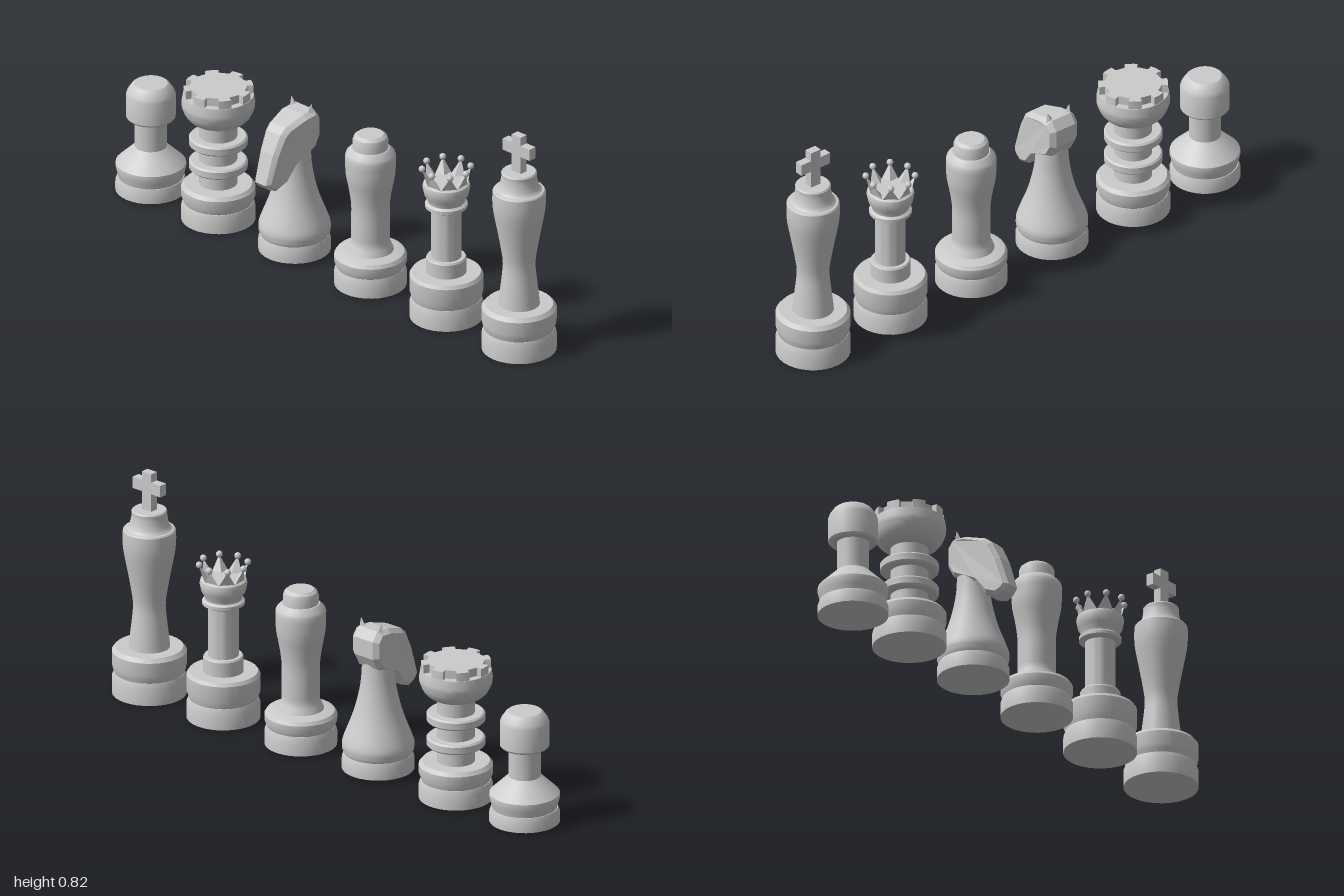
import * as THREE from 'three';
import { toCreasedNormals } from 'three/addons/utils/BufferGeometryUtils.js';

const material = new THREE.MeshStandardMaterial({ color: 0xcccccc });
const flatMaterial = new THREE.MeshStandardMaterial({ color: 0xcccccc, flatShading: true, side: THREE.DoubleSide });

function add(group, name, geometry, mat = material) {
  const mesh = new THREE.Mesh(geometry, mat);
  mesh.name = name;
  group.add(mesh);
  return mesh;
}

// Smooth run of [radius, height] pairs for a profile
function smooth(points, count = 14) {
  const curve = new THREE.SplineCurve(points.map(([r, y]) => new THREE.Vector2(r, y)));
  return curve.getPoints(count).map((p) => [p.x, p.y]);
}

// Turned part, closed on the axis at both ends
function turned(group, name, profile) {
  const ends = [[0, profile[0][1]], ...profile, [0, profile[profile.length - 1][1]]];
  const lathe = new THREE.LatheGeometry(ends.map(([r, y]) => new THREE.Vector2(r, y)), 32);
  return add(group, name, toCreasedNormals(lathe, 0.5));
}

// Foot disc with a grooved edge
function foot(group, radius, bottom, top) {
  turned(group, 'foot', [[radius, bottom], [radius, top - 0.02], [radius - 0.007, top]]);
}

function piece(name, z) {
  const group = new THREE.Group();
  group.name = name;
  group.position.set(0.02, 0, z);
  return group;
}

function king() {
  const g = piece('king', 0.87);
  foot(g, 0.13, 0, 0.08);
  turned(g, 'baseRing', [[0.122, 0.08], [0.127, 0.095], [0.13, 0.11], [0.13, 0.158], [0.118, 0.172]]);
  turned(g, 'body', [
    ...smooth([[0.072, 0.17], [0.067, 0.22], [0.058, 0.3], [0.058, 0.35], [0.075, 0.45], [0.09, 0.53], [0.093, 0.575], [0.092, 0.607]]),
    [0.088, 0.612],
    ...smooth([[0.08, 0.613], [0.07, 0.625], [0.062, 0.66], [0.062, 0.678]], 6),
    [0.058, 0.683],
  ]);
  // Cross
  add(g, 'crossPost', new THREE.BoxGeometry(0.03, 0.145, 0.043)).position.y = 0.7505;
  add(g, 'crossArm', new THREE.BoxGeometry(0.03, 0.043, 0.128)).position.y = 0.77;
  return g;
}

function queen() {
  const g = piece('queen', 0.525);
  foot(g, 0.128, 0.004, 0.08);
  turned(g, 'baseRing', [[0.12, 0.08], [0.128, 0.105], [0.128, 0.165], [0.12, 0.177]]);
  turned(g, 'lowerCollar', [[0.07, 0.17], [0.07, 0.23], [0.066, 0.236]]);
  turned(g, 'stem', [[0.053, 0.23], [0.053, 0.43]]);
  turned(g, 'upperCollar', [[0.06, 0.42], [0.074, 0.428], [0.074, 0.44], [0.065, 0.447]]);
  turned(g, 'cup', [[0.064, 0.445], [0.066, 0.458], [0.077, 0.475], [0.083, 0.505], [0.08, 0.517], [0.072, 0.522]]);
  // Crown of eight outward spikes, each tipped with a ball
  const corners = [];
  const at = (a, r, y) => [Math.sin(a) * r, y, Math.cos(a) * r];
  for (let i = 0; i < 8; i++) {
    const a = (i / 8) * Math.PI * 2 + 0.12;
    const left = at(a - Math.PI / 8, 0.075, 0.519);
    const right = at(a + Math.PI / 8, 0.075, 0.519);
    const tip = at(a, 0.086, 0.575);
    const inner = at(a, 0.045, 0.52);
    corners.push(...left, ...right, ...tip, ...right, ...inner, ...tip, ...inner, ...left, ...tip);
    add(g, 'crownBall', new THREE.SphereGeometry(0.012, 12, 8)).position.set(...at(a, 0.085, 0.576));
  }
  const crown = new THREE.BufferGeometry();
  crown.setAttribute('position', new THREE.Float32BufferAttribute(corners, 3));
  crown.computeVertexNormals();
  add(g, 'crownSpikes', crown, flatMaterial);
  return g;
}

function bishop() {
  const g = piece('bishop', 0.165);
  foot(g, 0.126, 0.006, 0.075);
  turned(g, 'baseRing', [[0.118, 0.075], [0.126, 0.095], [0.126, 0.118], [0.118, 0.13], [0.092, 0.138]]);
  turned(g, 'body', [
    [0.082, 0.135], [0.072, 0.16],
    ...smooth([[0.067, 0.17], [0.067, 0.24], [0.067, 0.31], [0.075, 0.37], [0.086, 0.43], [0.088, 0.5]]),
    [0.084, 0.512], [0.066, 0.53],
  ]);
  turned(g, 'cap', [[0.062, 0.52], [0.062, 0.56], [0.057, 0.573], [0.046, 0.582]]);
  return g;
}

function knight() {
  const g = piece('knight', -0.195);
  foot(g, 0.126, 0.016, 0.075);
  turned(g, 'body', [
    [0.118, 0.075],
    ...smooth([[0.125, 0.09], [0.125, 0.115], [0.113, 0.15], [0.09, 0.21], [0.073, 0.27], [0.06, 0.34], [0.055, 0.43]]),
  ]);
  // Head: bevelled side outline, narrowing toward the muzzle
  const outline = [
    [-0.153, 0.325], [-0.135, 0.303], [-0.105, 0.29], [-0.06, 0.308], [-0.02, 0.36], [0.07, 0.405],
    [0.095, 0.45], [0.095, 0.515], [0.07, 0.548], [0.02, 0.545], [-0.06, 0.52], [-0.085, 0.498], [-0.118, 0.432],
  ];
  const shape = new THREE.Shape(outline.map(([x, y]) => new THREE.Vector2(x - 0.02, y)));
  const head = new THREE.ExtrudeGeometry(shape, {
    depth: 0.084, bevelEnabled: true, bevelThickness: 0.019, bevelSize: 0.014, bevelOffset: -0.014, bevelSegments: 1,
  });
  head.translate(0, 0, -0.042);
  const p = head.attributes.position;
  for (let i = 0; i < p.count; i++) {
    const toMuzzle = THREE.MathUtils.clamp((0.0 - p.getX(i)) / 0.17, 0, 1);
    p.setZ(i, p.getZ(i) * (1 - 0.42 * toMuzzle));
  }
  head.computeVertexNormals();
  add(g, 'head', head, flatMaterial);
  for (const side of [-1, 1]) {
    const ear = add(g, 'ear', new THREE.ConeGeometry(0.024, 0.06, 4), flatMaterial);
    ear.position.set(0.035, 0.546, side * 0.042);
    ear.rotation.x = side * 0.2;
  }
  return g;
}

function rook() {
  const g = piece('rook', -0.557);
  foot(g, 0.129, 0.006, 0.075);
  turned(g, 'baseRing', [[0.12, 0.075], [0.129, 0.1], [0.129, 0.13], [0.118, 0.143]]);
  turned(g, 'stem', [[0.066, 0.14], [0.066, 0.385]]);
  for (const y of [0.2, 0.29]) {
    turned(g, 'disc', [[0.096, y], [0.102, y + 0.006], [0.102, y + 0.029], [0.096, y + 0.035]]);
  }
  turned(g, 'cup', [
    ...smooth([[0.072, 0.377], [0.095, 0.388], [0.115, 0.41], [0.127, 0.44]], 8),
    [0.128, 0.455], [0.123, 0.485],
  ]);
  // Battlements: a disc with eight notches in its rim
  const shape = new THREE.Shape();
  const half = 0.2;
  for (let i = 0; i < 8; i++) {
    const a = Math.PI / 2 - 0.23 + (i * Math.PI) / 4;
    const next = a + Math.PI / 4;
    const put = (angle, r) => {
      const x = Math.cos(angle) * r, y = Math.sin(angle) * r;
      if (i === 0 && angle === a - half) shape.moveTo(x, y);
      else shape.lineTo(x, y);
    };
    put(a - half, 0.1);
    put(a + half, 0.1);
    for (let k = 0; k <= 3; k++) put(a + half + ((next - a - 2 * half) * k) / 3, 0.121);
  }
  const rim = new THREE.ExtrudeGeometry(shape, { depth: 0.032, bevelEnabled: false });
  rim.rotateX(-Math.PI / 2);
  add(g, 'battlements', toCreasedNormals(rim, 0.5)).position.y = 0.484;
  return g;
}

function pawn() {
  const g = piece('pawn', -0.877);
  foot(g, 0.123, 0.008, 0.06);
  turned(g, 'skirt', [[0.113, 0.06], [0.118, 0.08], [0.123, 0.1], [0.122, 0.112], [0.062, 0.17], [0.056, 0.175]]);
  turned(g, 'stem', [[0.056, 0.165], [0.056, 0.29]]);
  turned(g, 'head', [[0.08, 0.283], [0.086, 0.29], [0.086, 0.375], [0.081, 0.388], [0.066, 0.41], [0.058, 0.416]]);
  return g;
}

export function createModel() {
  const set = new THREE.Group();
  set.name = 'chessSet';
  set.add(king(), queen(), bishop(), knight(), rook(), pawn());
  return set;
}
